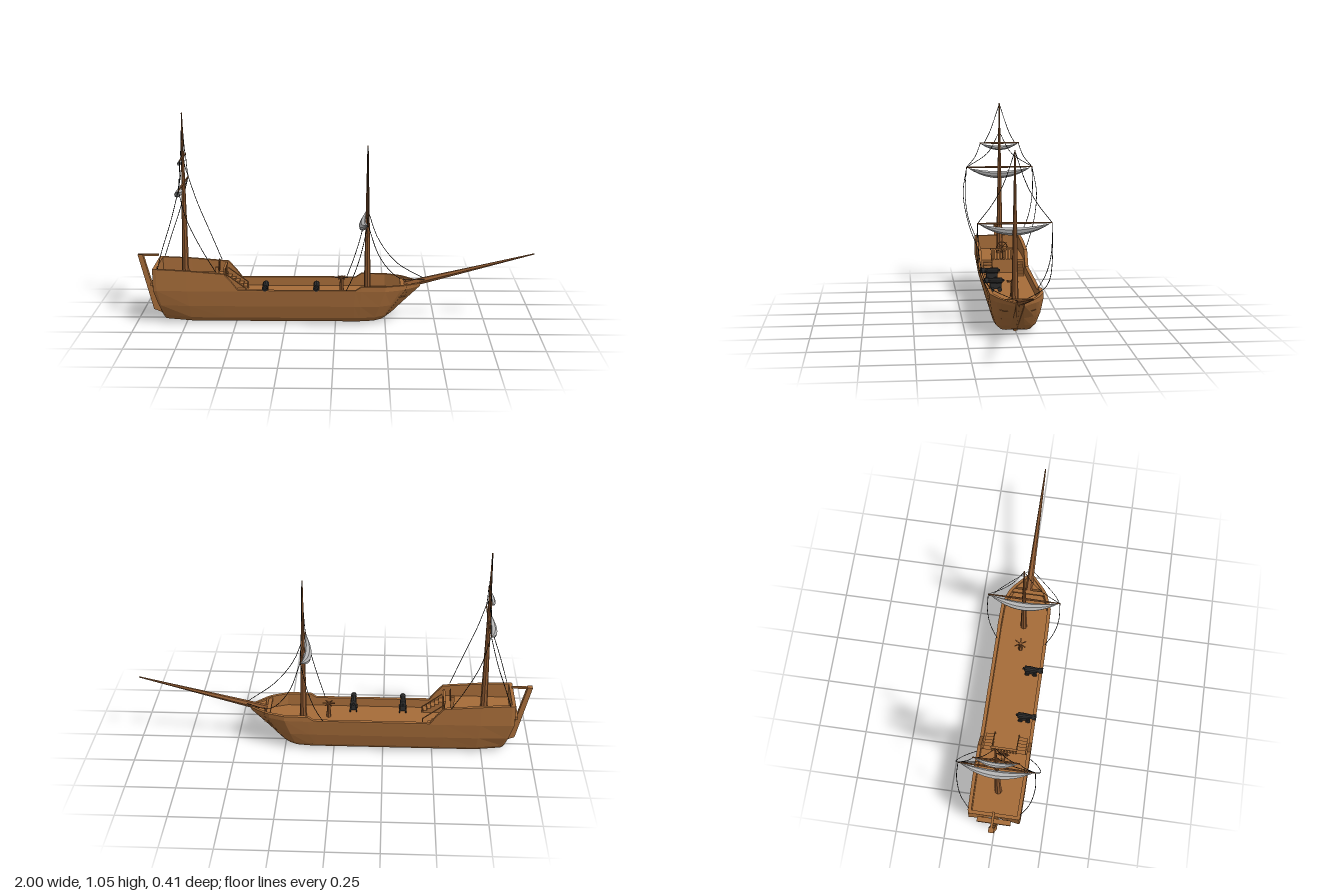
import * as THREE from 'three';

const wood = new THREE.MeshStandardMaterial({ color: 0xa66c39 });
const spar = new THREE.MeshStandardMaterial({ color: 0x8f5a31 });
const canvas = new THREE.MeshStandardMaterial({ color: 0xb4b4b4 });
const iron = new THREE.MeshStandardMaterial({ color: 0x2b2b2b });
const rope = new THREE.MeshStandardMaterial({ color: 0x141414 });
wood.name = 'wood'; spar.name = 'sparWood'; canvas.name = 'sailCloth'; iron.name = 'iron'; rope.name = 'rope';

const V = (x, y, z) => new THREE.Vector3(x, y, z);

// Adds a flat-shaded mesh
function add(parent, name, geo, mat, x = 0, y = 0, z = 0) {
  const g = geo.index ? geo.toNonIndexed() : geo;
  g.computeVertexNormals();
  const m = new THREE.Mesh(g, mat);
  m.name = name;
  m.position.set(x, y, z);
  parent.add(m);
  return m;
}
const box = (p, name, mat, w, h, d, x, y, z) => add(p, name, new THREE.BoxGeometry(w, h, d), mat, x, y, z);

// Tapered pole between two points
function pole(parent, name, a, b, ra, rb, mat = spar, sides = 6) {
  const m = add(parent, name, new THREE.CylinderGeometry(rb, ra, a.distanceTo(b), sides), mat);
  m.position.copy(a).lerp(b, 0.5);
  m.quaternion.setFromUnitVectors(V(0, 1, 0), b.clone().sub(a).normalize());
  return m;
}

// Hull lofted through stations, with bulwarks and decks in the same ring
function hullGeometry() {
  // bottom x, top x, top half width, bottom half width, keel y, rail y, deck y
  const stations = [
    [-0.86, -0.91, 0.128, 0.085, 0.022, 0.29, 0.29],
    [-0.85, -0.892, 0.132, 0.09, 0.018, 0.29, 0.29],
    [-0.849, -0.891, 0.132, 0.09, 0.018, 0.29, 0.213],
    [-0.72, -0.74, 0.135, 0.102, 0.01, 0.283, 0.213],
    [-0.555, -0.555, 0.135, 0.104, 0.01, 0.268, 0.213],
    [-0.554, -0.554, 0.135, 0.104, 0.01, 0.268, 0.14],
    [-0.515, -0.515, 0.135, 0.104, 0.01, 0.225, 0.14],
    [-0.485, -0.485, 0.135, 0.104, 0.01, 0.185, 0.14],
    [0.09, 0.1, 0.135, 0.104, 0.01, 0.185, 0.14],
    [0.12, 0.13, 0.135, 0.103, 0.01, 0.205, 0.14],
    [0.19, 0.25, 0.132, 0.098, 0.013, 0.205, 0.14],
    [0.225, 0.33, 0.102, 0.082, 0.018, 0.203, 0.14],
    [0.235, 0.355, 0.085, 0.072, 0.02, 0.201, 0.14],
    [0.236, 0.356, 0.085, 0.072, 0.02, 0.201, 0.19],
    [0.262, 0.43, 0.02, 0.035, 0.03, 0.195, 0.19],
  ];
  const rings = stations.map(([xb, xt, w, wb, yb, top, deck]) => {
    const sheer = Math.min(0.185, top);
    const inner = Math.max(w - 0.018, 0.004);
    const xAt = y => THREE.MathUtils.lerp(xb, xt, Math.min(1, (y - yb) / (0.185 - yb)));
    const outer = [[0, yb], [wb * 0.75, yb], [wb, yb + 0.025], [wb + (w - wb) * 0.62, 0.1], [w, sheer - 0.005], [w, top]]
      .map(([z, y]) => V(xAt(y), y, z));
    const half = [...outer, V(xt, top, inner), V(xt, deck, inner), V(xt, deck, 0)];
    const mirror = half.slice(1, -1).reverse().map(p => V(p.x, p.y, -p.z));
    return [...half, ...mirror];
  });
  const pos = [];
  const tri = (...ps) => ps.forEach(p => pos.push(p.x, p.y, p.z));
  const n = rings[0].length;
  for (let s = 0; s < rings.length - 1; s++) {
    for (let i = 0; i < n; i++) {
      const j = (i + 1) % n, a = rings[s], b = rings[s + 1];
      tri(a[i], b[i], a[j]);
      tri(b[i], b[j], a[j]);
    }
  }
  const first = rings[0], last = rings[rings.length - 1];
  for (let i = 1; i < n - 1; i++) {
    tri(first[0], first[i], first[i + 1]);
    tri(last[0], last[i + 1], last[i]);
  }
  const g = new THREE.BufferGeometry();
  g.setAttribute('position', new THREE.Float32BufferAttribute(pos, 3));
  return g;
}

// Yard with a furled, sagging sail beneath it
function yard(parent, x, y, half, size) {
  pole(parent, 'yard', V(x, y, -half), V(x, y, 0), 0.003, 0.006);
  pole(parent, 'yard', V(x, y, half), V(x, y, 0), 0.003, 0.006);
  const g = new THREE.CylinderGeometry(1, 1, 2, 7, 12).rotateX(Math.PI / 2);
  const p = g.attributes.position;
  for (let i = 0; i < p.count; i++) {
    const u = p.getZ(i), k = 1 - u * u;
    p.setXYZ(i, size * k * (p.getX(i) * 0.02 - 0.024), size * k * (p.getY(i) * 0.02 + p.getX(i) * 0.006 - 0.043) - 0.003, u * half * 0.96);
  }
  add(parent, 'furledSail', g, canvas, x, y, 0);
}

// The same rope on both sides of the ship
function ropePair(parent, pts) {
  for (const s of [1, -1]) {
    const curve = new THREE.CatmullRomCurve3(pts.map(([x, y, z]) => V(x, y, z * s)));
    add(parent, 'rope', new THREE.TubeGeometry(curve, 14, 0.0017, 4), rope);
  }
}

function cannon(parent, x) {
  const g = new THREE.Group();
  g.name = 'cannon';
  g.position.set(x, 0.196, 0.03);
  const profile = [[0, 0], [0.006, 0.001], [0.006, 0.008], [0.016, 0.012], [0.016, 0.04], [0.012, 0.085],
    [0.015, 0.095], [0.015, 0.107], [0.008, 0.107], [0.007, 0.09], [0, 0.09]].map(([r, y]) => new THREE.Vector2(r, y));
  add(g, 'barrel', new THREE.LatheGeometry(profile, 10).rotateX(Math.PI / 2), iron);
  box(g, 'carriage', iron, 0.026, 0.028, 0.06, 0, -0.027, 0.045);
  for (const sx of [-1, 1]) for (const z of [0.025, 0.065]) {
    add(g, 'wheel', new THREE.CylinderGeometry(0.012, 0.012, 0.006, 8).rotateZ(Math.PI / 2), iron, sx * 0.016, -0.044, z);
  }
  parent.add(g);
}

export function createModel() {
  const ship = new THREE.Group();
  ship.name = 'sailingShip';
  add(ship, 'hull', hullGeometry(), wood);
  box(ship, 'keel', wood, 1.02, 0.012, 0.02, -0.32, 0.008, 0);

  // Rudder, tiller and stern frame
  const outline = [[-1, 0.335], [-0.975, 0.335], [-0.935, 0.19], [-0.855, 0.022], [-0.925, 0.05]].map(([x, y]) => new THREE.Vector2(x, y));
  add(ship, 'rudder', new THREE.ExtrudeGeometry(new THREE.Shape(outline), { depth: 0.028, bevelEnabled: false }), wood, 0, 0, -0.014);
  box(ship, 'tiller', wood, 0.1, 0.009, 0.012, -0.945, 0.331, 0);
  box(ship, 'sternLedge', wood, 0.025, 0.014, 0.17, -0.915, 0.2, 0);
  for (const s of [-1, 1]) pole(ship, 'sternFrame', V(-0.87, 0.045, s * 0.05), V(-0.915, 0.2, s * 0.075), 0.009, 0.009, wood, 4);

  // Stairs and balustrade at the raised stern deck
  for (const s of [-1, 1]) {
    for (let i = 0; i < 5; i++) {
      const h = 0.062 - i * 0.0125;
      box(ship, 'stair', wood, 0.02, h, 0.045, -0.544 + i * 0.02, 0.14 + h / 2, s * 0.086);
    }
    pole(ship, 'stairRail', V(-0.55, 0.25, s * 0.063), V(-0.45, 0.175, s * 0.063), 0.003, 0.003, wood, 4);
    pole(ship, 'stairPost', V(-0.45, 0.14, s * 0.063), V(-0.45, 0.178, s * 0.063), 0.003, 0.003, wood, 4);
  }
  box(ship, 'balustradeRail', wood, 0.012, 0.008, 0.135, -0.558, 0.273, 0);
  for (let i = 0; i < 9; i++) box(ship, 'baluster', wood, 0.006, 0.06, 0.007, -0.558, 0.24, -0.06 + i * 0.015);

  // Steering wheel
  box(ship, 'wheelStand', wood, 0.018, 0.06, 0.018, -0.6, 0.24, 0);
  add(ship, 'steeringWheel', new THREE.TorusGeometry(0.027, 0.003, 5, 14).rotateY(Math.PI / 2), spar, -0.588, 0.279, 0);
  for (let i = 0; i < 4; i++) {
    const a = i * Math.PI / 4, d = V(0, Math.cos(a), Math.sin(a)).multiplyScalar(0.034), c = V(-0.588, 0.279, 0);
    pole(ship, 'wheelSpoke', c.clone().sub(d), c.clone().add(d), 0.002, 0.002, spar, 4);
  }

  // Capstan
  add(ship, 'capstan', new THREE.CylinderGeometry(0.008, 0.012, 0.085, 8), spar, 0.03, 0.182, 0);
  for (let i = 0; i < 3; i++) {
    const a = i * Math.PI / 3;
    box(ship, 'capstanBar', spar, 0.066, 0.005, 0.005, 0.03, 0.217, 0).rotation.y = a;
  }

  cannon(ship, -0.35);
  cannon(ship, -0.095);

  // Masts, bowsprit and crossbeam
  pole(ship, 'aftMast', V(-0.76, 0.2, 0), V(-0.76, 1.055, 0), 0.019, 0.003, spar, 8);
  pole(ship, 'foreMast', V(0.16, 0.13, 0), V(0.16, 0.893, 0), 0.018, 0.003, spar, 8);
  pole(ship, 'bowsprit', V(0.34, 0.178, 0), V(0.999, 0.345, 0), 0.019, 0.003, spar, 6);
  box(ship, 'bowBeam', wood, 0.02, 0.015, 0.17, 0.335, 0.188, 0);

  yard(ship, -0.76, 0.7, 0.185, 1);
  yard(ship, -0.76, 0.835, 0.11, 0.62);
  yard(ship, 0.16, 0.535, 0.185, 1);

  // Rigging
  ropePair(ship, [[-0.76, 1.05, 0], [-0.76, 0.9, 0.052], [-0.76, 0.835, 0.085]]);
  ropePair(ship, [[-0.76, 0.835, 0.105], [-0.76, 0.76, 0.135], [-0.76, 0.7, 0.183]]);
  ropePair(ship, [[-0.76, 0.89, 0.004], [-0.76, 0.78, 0.065], [-0.76, 0.7, 0.183]]);
  ropePair(ship, [[-0.76, 0.7, 0.183], [-0.72, 0.56, 0.205], [-0.65, 0.4, 0.18], [-0.59, 0.275, 0.135]]);
  ropePair(ship, [[-0.76, 0.7, 0.183], [-0.8, 0.55, 0.19], [-0.85, 0.4, 0.17], [-0.885, 0.285, 0.128]]);
  ropePair(ship, [[0.16, 0.888, 0], [0.16, 0.73, 0.055], [0.16, 0.63, 0.11], [0.16, 0.535, 0.183]]);
  ropePair(ship, [[0.16, 0.535, 0.183], [0.22, 0.37, 0.178], [0.31, 0.26, 0.145], [0.45, 0.21, 0.012]]);
  ropePair(ship, [[0.16, 0.535, 0.183], [0.125, 0.38, 0.185], [0.09, 0.27, 0.165], [0.055, 0.185, 0.128]]);
  return ship;
}
